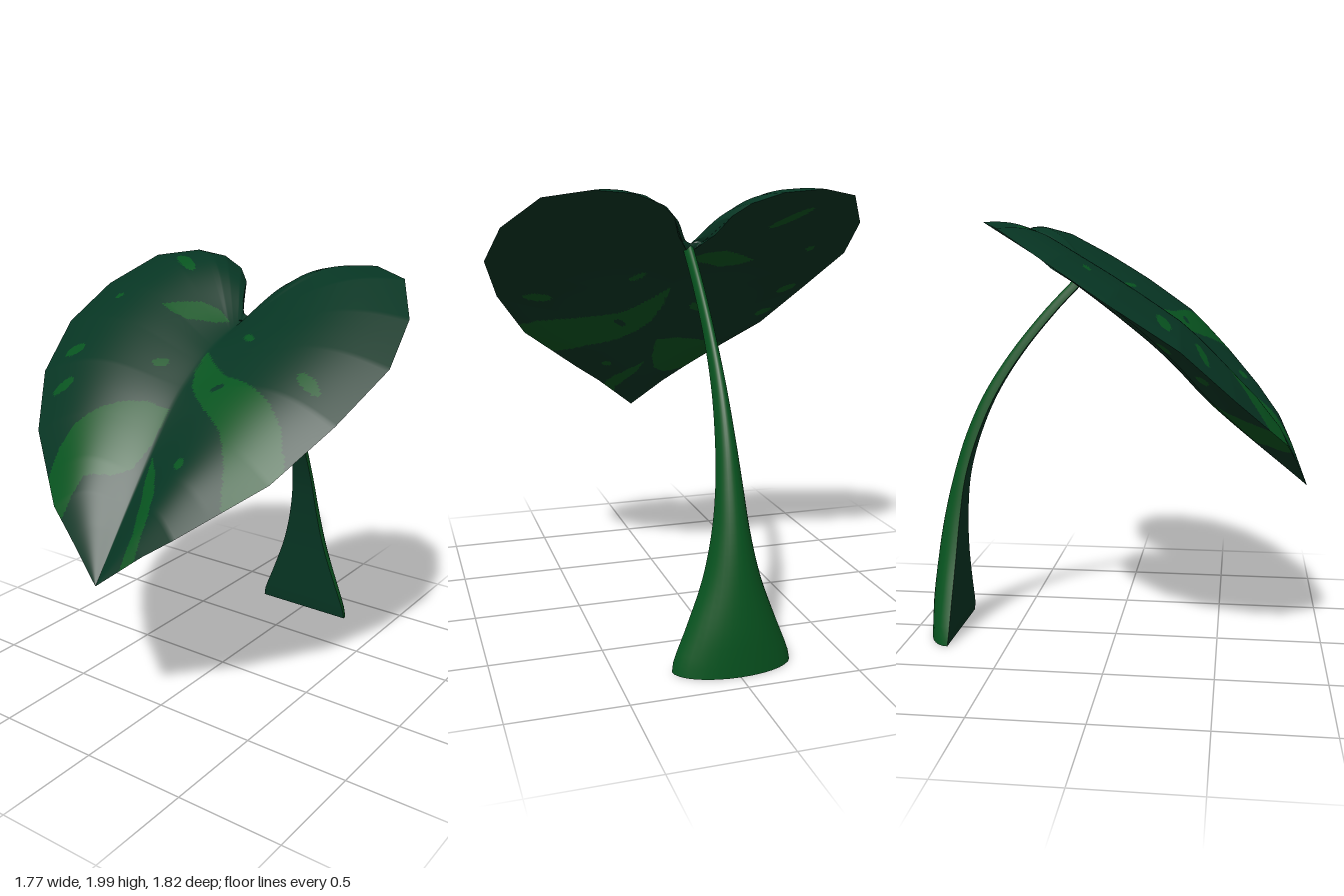
import * as THREE from 'three';

const darkGreen = new THREE.MeshStandardMaterial({ color: 0x073523 });
darkGreen.name = 'dark green';
const freshGreen = new THREE.MeshStandardMaterial({ color: 0x07531f });
freshGreen.name = 'fresh green';

// Rim of half the heart from notch to tip: x, y, z, and z where its vein leaves the midrib
const rim = [
  [0, 1.76, -0.2, -0.2], [0.045, 1.765, -0.215, -0.19], [0.085, 1.8, -0.29, -0.165],
  [0.13, 1.885, -0.38, -0.14], [0.2, 1.94, -0.435, -0.12], [0.33, 1.985, -0.48, -0.09],
  [0.51, 2.0, -0.5, -0.05], [0.7, 1.97, -0.4, 0], [0.84, 1.84, -0.18, 0.07],
  [0.885, 1.68, 0.07, 0.17], [0.8, 1.49, 0.35, 0.3], [0.64, 1.275, 0.57, 0.46],
  [0.33, 1.04, 0.8, 0.68], [0.2, 0.95, 0.845, 0.76], [0, 0.79, 0.91, 0.91],
];
// Midrib heights (z, y) on the upper and lower faces
const ribTop = [[-0.2, 1.76], [0.11, 1.645], [0.3, 1.52], [0.39, 1.44], [0.54, 1.26], [0.7, 1.06], [0.91, 0.79]];
const ribBottom = [[-0.2, 1.73], [0, 1.62], [0.2, 1.45], [0.44, 1.19], [0.91, 0.79]];

// Variegation outlines in x, z
const patches = [
  [[0, 0.11], [0.08, 0.18], [0.2, 0.26], [0.35, 0.31], [0.5, 0.37], [0.6, 0.43], [0.66, 0.5], [0.72, 0.6],
    [0.55, 0.74], [0.48, 0.68], [0.43, 0.59], [0.35, 0.5], [0.25, 0.44], [0.12, 0.36], [0.05, 0.3], [0.01, 0.22]],
  [[-0.005, 0.39], [-0.12, 0.4], [-0.23, 0.44], [-0.33, 0.5], [-0.41, 0.57], [-0.44, 0.64], [-0.44, 0.78],
    [-0.28, 0.85], [-0.25, 0.78], [-0.23, 0.71], [-0.12, 0.66], [-0.05, 0.6], [-0.01, 0.5]],
  [[0.02, 0.54], [0.08, 0.6], [0.14, 0.68], [0.17, 0.76], [0.17, 0.9], [0.1, 0.9], [0.12, 0.8], [0.08, 0.7], [0.04, 0.62]],
  [[-0.03, -0.1], [-0.1, -0.12], [-0.2, -0.11], [-0.3, -0.06], [-0.37, -0.02], [-0.3, 0], [-0.2, 0], [-0.08, -0.05]],
];
// Oval flecks: x, z, half length, half width, turn
const flecks = [
  [-0.44, -0.3, 0.1, 0.03, 0.55], [-0.665, 0.275, 0.055, 0.03, -0.15], [-0.6, 0.43, 0.055, 0.024, -0.35],
  [-0.17, 0.24, 0.04, 0.02, -0.4], [0.18, 0.05, 0.042, 0.016, 0.6], [0.62, 0.26, 0.07, 0.026, 0.35],
  [0.21, 0.6, 0.026, 0.018, 0.5], [-0.65, -0.04, 0.02, 0.016, 0],
];
const gap = [0.2, 0.32, 0.03, 0.014, -0.3];

const mix = THREE.MathUtils.lerp;

// Smooth interpolation of a table keyed on its first column
function sample(table, t) {
  let i = 0;
  while (i < table.length - 2 && t > table[i + 1][0]) i++;
  const a = table[i], b = table[i + 1], span = b[0] - a[0], u = (t - a[0]) / span;
  const slope = (n, k) => {
    const p = table[Math.max(n - 1, 0)], q = table[Math.min(n + 1, table.length - 1)];
    return ((q[k] - p[k]) / (q[0] - p[0])) * span;
  };
  return a.slice(1).map((v, j) => {
    const k = j + 1, d = b[k] - v, m0 = slope(i, k), m1 = slope(i + 1, k);
    return v + u * (m0 + u * (3 * d - 2 * m0 - m1 + u * (m0 + m1 - 2 * d)));
  });
}

function inOval([cx, cz, a, b, turn], x, z) {
  const dx = x - cx, dz = z - cz, c = Math.cos(turn), s = Math.sin(turn);
  return ((dx * c + dz * s) / a) ** 2 + ((dz * c - dx * s) / b) ** 2 < 1;
}

function inPolygon(poly, x, z) {
  let inside = false;
  poly.forEach(([x1, z1], i) => {
    const [x2, z2] = poly[(i + 1) % poly.length];
    if (z1 > z !== z2 > z && x < x1 + ((z - z1) / (z2 - z1)) * (x2 - x1)) inside = !inside;
  });
  return inside;
}

const isFresh = (x, z) => !inOval(gap, x, z)
  && (patches.some((p) => inPolygon(p, x, z)) || flecks.some((f) => inOval(f, x, z)));

// Evenly spaced rows along the rim
function rimRows() {
  const rows = [rim[0]];
  for (let i = 1; i < rim.length; i++) {
    const [a, b] = [rim[i - 1], rim[i]];
    const n = Math.ceil(Math.hypot(b[0] - a[0], b[1] - a[1], b[2] - a[2]) / 0.014);
    for (let k = 1; k <= n; k++) rows.push(a.map((v, j) => mix(v, b[j], k / n)));
  }
  return rows;
}

// One face of the blade: rows run from rim to rim across the midrib.
// bulge swells each lobe, curl rounds the rise from midrib to rim
function bladeFace(name, rib, bulge, curl, up) {
  const rows = rimRows(), half = 55, cols = half * 2 + 1;
  const pos = [], dark = [], fresh = [];
  for (const [px, py, pz, rz] of rows) {
    const ribY = sample(rib, rz)[0], swell = bulge * Math.min(1, px / 0.45);
    for (let j = -half; j <= half; j++) {
      const s = Math.abs(j) / half, z = mix(rz, pz, s);
      // follow the slope of the vein, then lift to the rim
      const y = mix(ribY, py, s) + swell * Math.sin(Math.PI * s ** 1.25);
      const lift = Math.max(0, py - ribY + (pz - rz) * 0.95);
      pos.push((px * j) / half, y - lift * (s - s ** curl), z);
    }
  }
  const add = (a, b, c) => {
    const mid = (k) => (pos[a * 3 + k] + pos[b * 3 + k] + pos[c * 3 + k]) / 3;
    (isFresh(mid(0), mid(2)) ? fresh : dark).push(a, ...(up ? [b, c] : [c, b]));
  };
  for (let i = 0; i < rows.length - 1; i++) {
    for (let j = 0; j < cols - 1; j++) {
      const a = i * cols + j, c = a + cols;
      add(a, c, a + 1);
      add(a + 1, c, c + 1);
    }
  }
  const geo = new THREE.BufferGeometry();
  geo.setAttribute('position', new THREE.Float32BufferAttribute(pos, 3));
  geo.setIndex([...dark, ...fresh]);
  geo.addGroup(0, dark.length, 0);
  geo.addGroup(dark.length, fresh.length, 1);
  geo.computeVertexNormals();
  const mesh = new THREE.Mesh(geo, [darkGreen, freshGreen]);
  mesh.name = name;
  return mesh;
}

// Stalk sections: y, front z, back z, half width
const stalk = [
  [0.01, -0.785, -0.912, 0.264], [0.06, -0.78, -0.912, 0.255], [0.2, -0.777, -0.908, 0.2], [0.4, -0.77, -0.885, 0.128],
  [0.6, -0.757, -0.85, 0.083], [0.8, -0.73, -0.8, 0.058], [1.0, -0.67, -0.735, 0.042], [1.2, -0.58, -0.642, 0.031],
  [1.4, -0.45, -0.51, 0.025], [1.6, -0.285, -0.345, 0.023], [1.75, -0.14, -0.2, 0.023],
];

// Sweeps a strip of the half-round section; across(u) gives x and depth fractions
function stalkFace(name, across, n, material) {
  const levels = 40, pos = [], index = [];
  for (let i = 0; i <= levels; i++) {
    const y = mix(0.01, 1.75, i / levels), [zf, zb, w] = sample(stalk, y);
    for (let j = 0; j <= n; j++) {
      const [fx, fz] = across(j / n);
      pos.push(w * fx, y, mix(zf, zb, fz));
      if (i < levels && j < n) {
        const a = i * (n + 1) + j, c = a + n + 1;
        index.push(a, a + 1, c, a + 1, c + 1, c);
      }
    }
  }
  const geo = new THREE.BufferGeometry();
  geo.setAttribute('position', new THREE.Float32BufferAttribute(pos, 3));
  geo.setIndex(index);
  geo.computeVertexNormals();
  const mesh = new THREE.Mesh(geo, material);
  mesh.name = name;
  return mesh;
}

export function createModel() {
  const model = new THREE.Group();
  model.name = 'leaf';

  const blade = new THREE.Group();
  blade.name = 'blade';
  blade.add(bladeFace('bladeTop', ribTop, 0.085, 1, true), bladeFace('bladeUnderside', ribBottom, 0, 1.7, false));

  const stem = new THREE.Group();
  stem.name = 'stem';
  const round = (u) => [Math.cos(Math.PI * u), Math.sin(Math.PI * u)];
  stem.add(stalkFace('stemFront', (u) => [u * 2 - 1, 0], 4, darkGreen));
  stem.add(stalkFace('stemBack', round, 16, freshGreen));

  // Flat foot closing the stem, facing down
  const [y, zf, zb, w] = stalk[0];
  const foot = new THREE.Mesh(new THREE.CircleGeometry(1, 16, Math.PI, Math.PI), freshGreen);
  foot.name = 'stemFoot';
  foot.scale.set(w, zf - zb, 1);
  foot.rotation.x = Math.PI / 2;
  foot.position.set(0, y, zf);

  stem.add(foot);
  model.add(blade, stem);
  return model;
}
